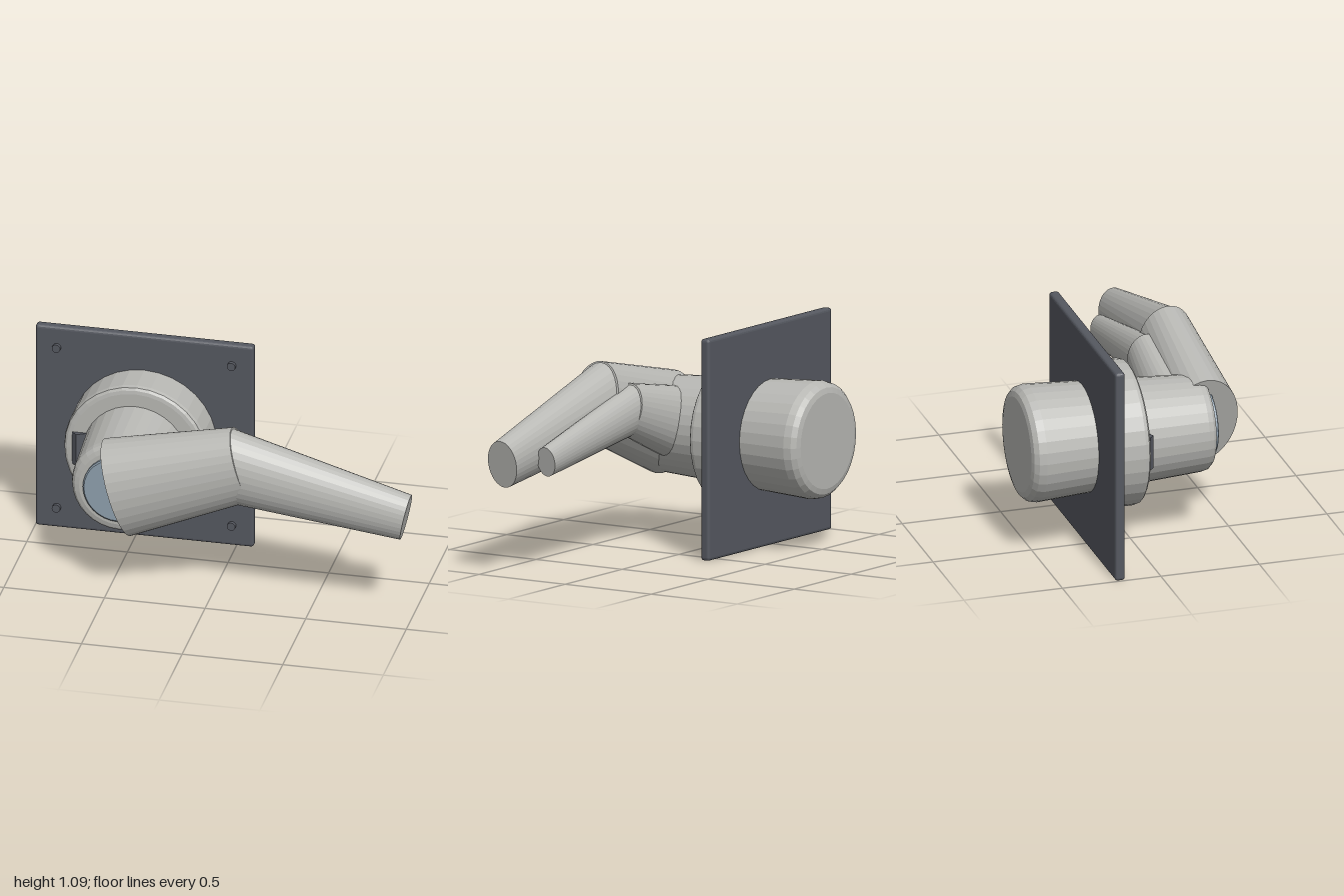
import * as THREE from 'three';
import { RoundedBoxGeometry } from 'three/addons/geometries/RoundedBoxGeometry.js';

const CX = -0.457, CY = 0.545;   // axis of the round housing
const OVAL = 0.685;              // width to height ratio of the arm sections

function material(name, color, flatShading = true) {
  const m = new THREE.MeshStandardMaterial({ color, flatShading });
  m.name = name;
  return m;
}

export function createModel() {
  const grey = material('light grey', 0xb8b8b4);
  const dark = material('dark slate', 0x555860);
  const blue = material('lens blue', 0x8fa0ae);
  const model = new THREE.Group();

  const add = (name, geometry, mat, x = 0, y = 0, z = 0) => {
    const mesh = new THREE.Mesh(geometry, mat);
    mesh.name = name;
    mesh.position.set(x, y, z);
    model.add(mesh);
    return mesh;
  };

  // Round parts turned about the z axis; profile is [radius, z]
  const turned = (name, profile, mat) => {
    const pts = profile.map(([r, z]) => new THREE.Vector2(r, z));
    const g = new THREE.LatheGeometry(pts, 32).rotateX(Math.PI / 2);
    return add(name, g, mat, CX, CY, 0);
  };

  // Tapered oval tube between two points of the xy plane
  const tube = (name, [x0, y0, r0], [x1, y1, r1], z) => {
    const dx = x1 - x0, dy = y1 - y0;
    const g = new THREE.CylinderGeometry(r1, r0, Math.hypot(dx, dy), 32);
    const mesh = add(name, g, grey, (x0 + x1) / 2, (y0 + y1) / 2, z);
    mesh.rotation.z = Math.atan2(dy, dx) - Math.PI / 2;
    mesh.scale.z = OVAL;
  };

  // Mounting plate with four screws
  add('mountingPlate', new RoundedBoxGeometry(1.085, 1.09, 0.05, 2, 0.015), dark, CX, CY, -0.205);
  for (const sx of [-1, 1]) for (const sy of [-1, 1]) {
    const g = new THREE.CylinderGeometry(0.021, 0.021, 0.03, 16).rotateX(Math.PI / 2);
    add('screw', g, dark, CX + sx * 0.435, CY + sy * 0.435, -0.177);
  }

  // Tapered housing, collar and lens
  turned('housing', [
    [0, -0.56], [0.235, -0.56], [0.262, -0.553], [0.282, -0.532], [0.29, -0.495],
    [0.239, 0.345], [0.233, 0.37], [0.218, 0.386], [0.195, 0.392], [0, 0.392],
  ], grey);
  turned('collar', [
    [0, -0.2], [0.36, -0.2], [0.36, -0.015], [0.355, 0.003], [0.343, 0.012], [0.325, 0.015], [0, 0.015],
  ], grey);
  turned('lens', [[0, 0.38], [0.172, 0.38], [0.172, 0.408], [0.165, 0.413], [0, 0.413]], blue);

  // Small wedge latch beside the housing
  const wedge = new THREE.Shape([
    [-0.77, 0], [-0.77, -0.02], [-0.745, -0.042], [-0.69, -0.015], [-0.69, 0],
  ].reverse().map(([x, y]) => new THREE.Vector2(x, y)));
  const latch = new THREE.ExtrudeGeometry(wedge, { depth: 0.17, bevelEnabled: false });
  latch.rotateX(-Math.PI / 2);
  add('latch', latch, dark, 0, 0.462, 0);

  // Large bent arm in front
  tube('largeArmUpper', [-0.46, 0.55, 0.256], [0.161, 0.745, 0.193], 0.383);
  tube('largeArmLower', [0.06, 0.735, 0.193], [0.972, 0.548, 0.12], 0.383);

  // Small bent arm behind it
  tube('smallArmUpper', [-0.45, 0.545, 0.193], [0.075, 0.703, 0.126], 0.253);
  tube('smallArmLower', [0.0, 0.699, 0.123], [0.785, 0.545, 0.075], 0.253);

  return model;
}
